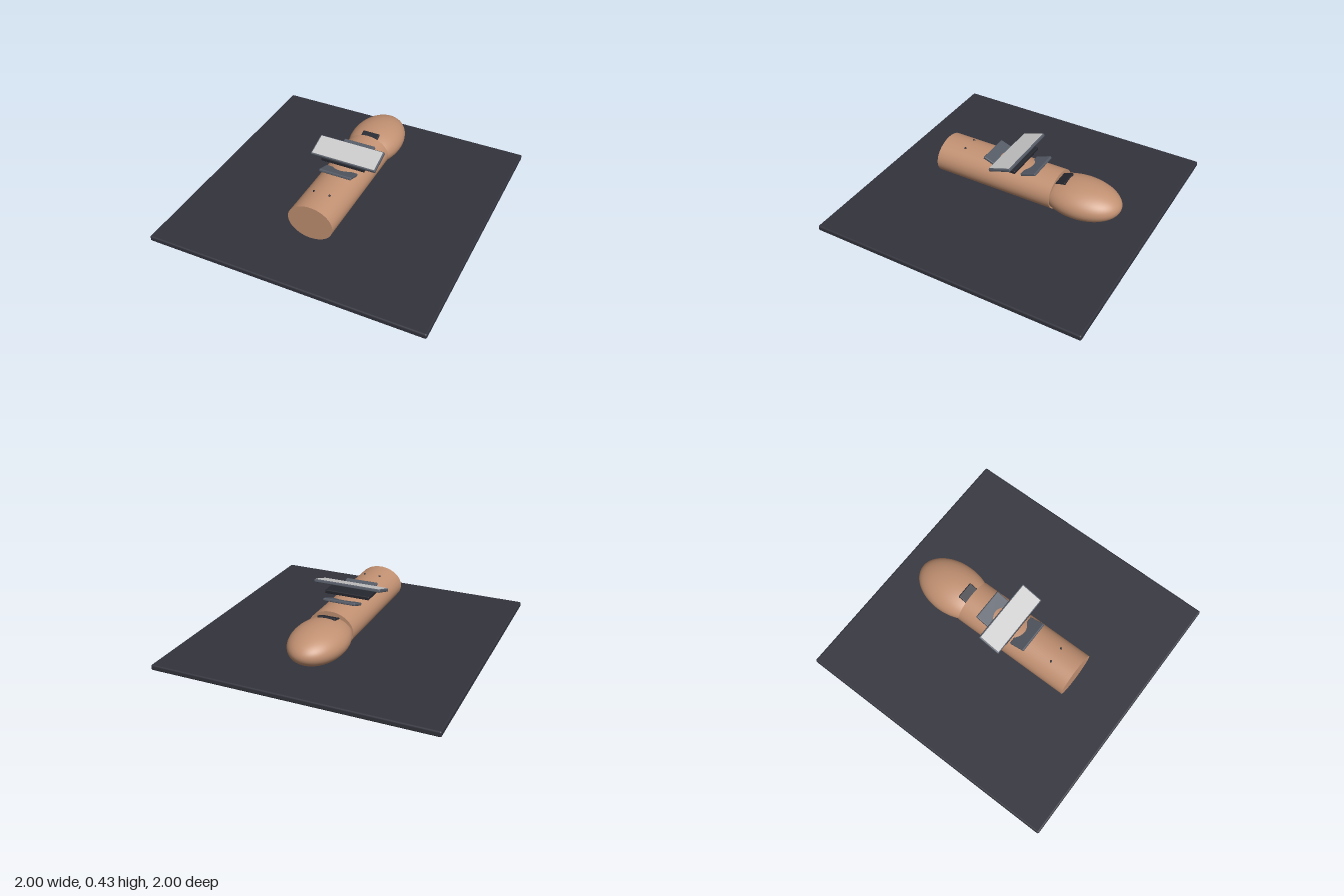
import * as THREE from 'three';
import { RoundedBoxGeometry } from 'three/addons/geometries/RoundedBoxGeometry.js';

const material = (name, color) => {
  const m = new THREE.MeshStandardMaterial({ color });
  m.name = name;
  return m;
};

export function createModel() {
  const skin = material('skin', 0xc29172);
  const baseDark = material('base charcoal', 0x33333d);
  const slate = material('slate plastic', 0x555b66);
  const black = material('black rubber', 0x262830);
  const glass = material('pale screen', 0xcacaca);

  const group = new THREE.Group();
  const add = (name, geometry, mat, x, y, z, tilt = 0, parent = group) => {
    const mesh = new THREE.Mesh(geometry, mat);
    mesh.name = name;
    mesh.position.set(x, y, z);
    mesh.rotation.x = tilt;
    parent.add(mesh);
    return mesh;
  };
  const slab = (w, h, d, r = 0.006) => new RoundedBoxGeometry(w, h, d, 3, r);

  // Display board
  add('base', slab(2, 0.04, 2, 0.012), baseDark, 0, 0.02, 0);

  // Forearm: oval cylinder along z, with a closed front end
  const arm = new THREE.CylinderGeometry(1, 1, 0.905, 64);
  arm.rotateX(Math.PI / 2);
  arm.scale(0.165, 0.13, 1);
  add('forearm', arm, skin, 0, 0.2, 0.1175);

  // Hand: rounded egg partly inside the forearm
  const hand = new THREE.SphereGeometry(1, 48, 32);
  hand.rotateX(Math.PI / 2);
  hand.scale(0.194, 0.125, 0.29);
  add('hand', hand, skin, 0, 0.195, -0.505);

  // Dark pad sunk into the back of the hand
  add('handPad', slab(0.13, 0.02, 0.12), black, 0, 0.291, -0.35, 0.35);

  // Strap lugs, tilted up away from the device
  for (const s of [1, -1]) {
    add(s > 0 ? 'frontStrap' : 'backStrap', slab(0.24, 0.02, 0.12), slate, 0, 0.327, s * 0.148, -s * 0.35);
  }

  // Mounting plate under the display
  add('mountPlate', slab(0.33, 0.026, 0.156), black, 0, 0.346, 0.005);

  // Tilted display: case and thin screen
  const display = new THREE.Group();
  display.name = 'display';
  display.position.set(0, 0.392, 0.003);
  display.rotation.x = 0.32;
  group.add(display);
  add('displayCase', slab(0.494, 0.022, 0.174), slate, 0, 0, 0, 0, display);
  add('screen', new THREE.BoxGeometry(0.474, 0.006, 0.158), glass, 0, 0.011, 0, 0, display);

  // Two small sensor studs on the forearm
  for (const s of [1, -1]) {
    add(s > 0 ? 'leftStud' : 'rightStud', new THREE.SphereGeometry(0.008, 16, 12), black, s * 0.058, 0.322, 0.395);
  }
  return group;
}
